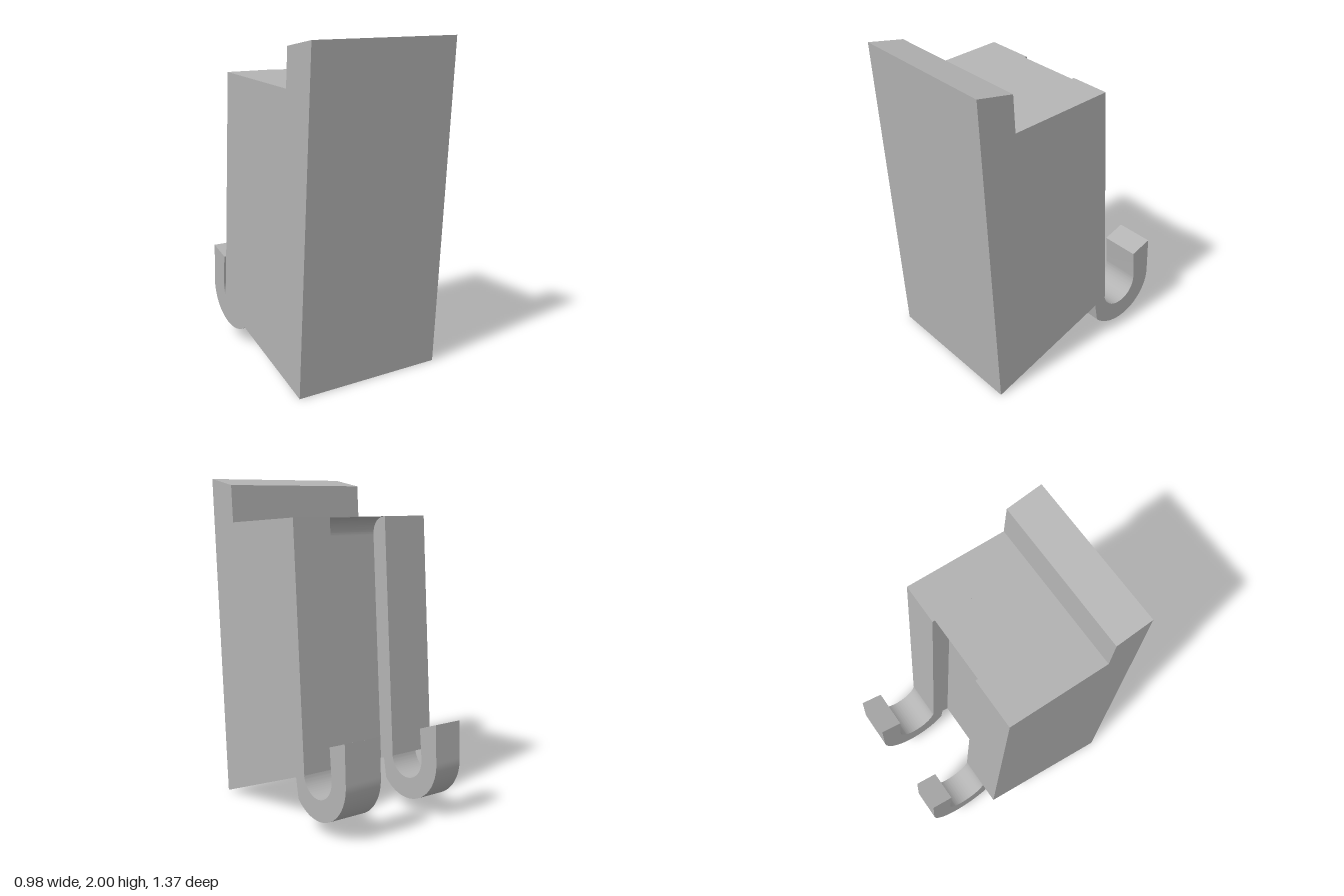
import * as THREE from 'three';
import { toCreasedNormals } from 'three/addons/utils/BufferGeometryUtils.js';

// Side profiles are drawn in (-z, y) and extruded along x.
function slab(name, shape, x0, x1, material) {
  const geo = new THREE.ExtrudeGeometry(shape, { depth: x1 - x0, bevelEnabled: false, curveSegments: 32 });
  geo.rotateY(Math.PI / 2);
  geo.translate(x0, 0, 0);
  const mesh = new THREE.Mesh(toCreasedNormals(geo, 0.5), material);
  mesh.name = name;
  return mesh;
}

// Leaning wedge with a lip at the top front; the back edge is supplied.
function bodyProfile(drawBack) {
  const s = new THREE.Shape();
  s.moveTo(-0.565, 0);
  drawBack(s);
  s.lineTo(-0.445, 1.735);
  s.lineTo(-0.46, 1.96);
  s.lineTo(-0.69, 2);
  s.closePath();
  return s;
}

export function createModel() {
  const group = new THREE.Group();
  const grey = new THREE.MeshStandardMaterial({ color: 0xb3b3b3 });
  grey.name = 'grey';

  const full = bodyProfile((s) => {
    s.lineTo(0.297, 0.315);
    s.lineTo(0.203, 1.775);
  });
  // Grooved section: recessed back curving out to a thin edge under the top
  const grooved = bodyProfile((s) => {
    s.lineTo(0.185, 0.275);
    s.lineTo(0.098, 1.66);
    s.bezierCurveTo(0.094, 1.72, 0.13, 1.768, 0.187, 1.771);
    s.lineTo(0.187, 1.774);
  });
  group.add(slab('bodyRight', full, -0.49, -0.175, grey));
  group.add(slab('bodyGroove', grooved, -0.175, 0.235, grey));
  group.add(slab('bodyLeft', full, 0.235, 0.49, grey));

  // J-shaped hook, rooted inside the lower back of the body
  const hook = new THREE.Shape();
  const cx = 0.425, cy = 0.342;
  hook.moveTo(0.145, 0.262);
  hook.absarc(cx, cy, 0.26, -2.38, 0.063, false);
  hook.lineTo(0.675, 0.585);
  hook.lineTo(0.54, 0.537);
  hook.absarc(cx, cy, 0.133, 0.063, -Math.PI + 0.063, true);
  hook.lineTo(0.2, 0.36);
  hook.closePath();
  group.add(slab('hookRight', hook, -0.365, -0.175, grey));
  group.add(slab('hookLeft', hook, 0.245, 0.49, grey));

  return group;
}
